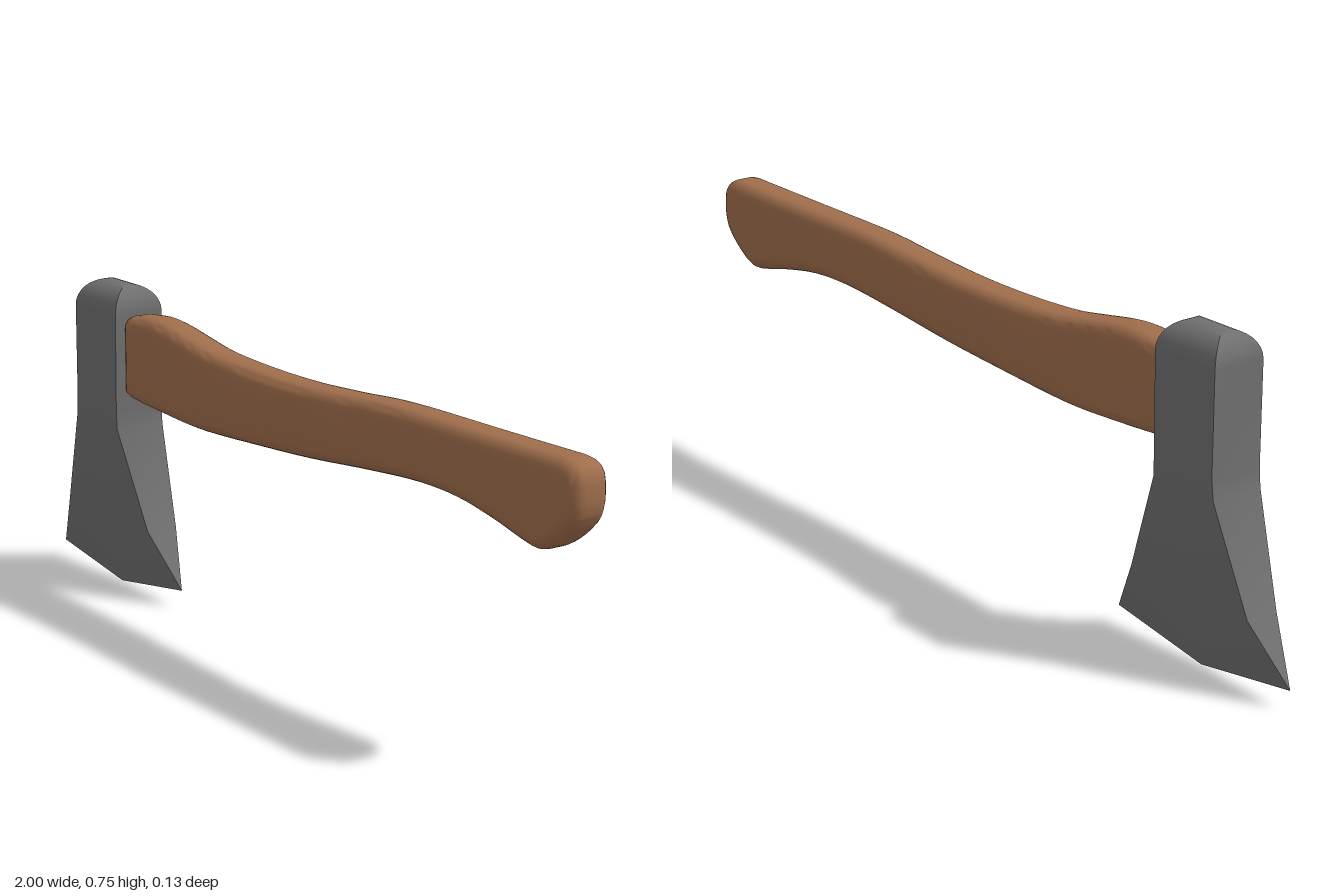
import * as THREE from 'three';
import { toCreasedNormals } from 'three/addons/utils/BufferGeometryUtils.js';

const MID_X = -0.73;

// Six-point ring: front left, middle, right, then back right, middle, left
function ring(x0, x1, y, halfZ, midY = y) {
  const mid = (x0 + x1) / 2;
  return [
    [x0, y, halfZ], [mid, midY, halfZ], [x1, y, halfZ],
    [x1, y, -halfZ], [mid, midY, -halfZ], [x0, y, -halfZ],
  ];
}

// Skin a stack of rings, listed from bottom to top
function loft(rings) {
  const positions = rings.flat(2);
  const n = rings[0].length;
  const index = [];
  for (let r = 0; r < rings.length - 1; r++) {
    for (let i = 0; i < n; i++) {
      const a = r * n + i, b = r * n + (i + 1) % n;
      index.push(a, b, b + n, a, b + n, a + n);
    }
  }
  const geometry = new THREE.BufferGeometry();
  geometry.setAttribute('position', new THREE.Float32BufferAttribute(positions, 3));
  geometry.setIndex(index);
  return toCreasedNormals(geometry, 0.5);
}

function createHead() {
  // Cutting edge, flared blade and neck
  const rings = [
    ring(-1, -0.465, 0.045, 0, 0.004),
    ring(-0.91, -0.55, 0.178, 0.04),
    ring(-0.825, -0.642, 0.415, 0.064),
    ring(-0.82, -0.643, 0.46, 0.065),
  ];
  // Socket with a domed top
  const steps = 8;
  for (let i = 0; i <= steps; i++) {
    const t = (i / steps) * Math.PI / 2;
    const halfX = 0.09 - 0.05 * (1 - Math.cos(t));
    rings.push(ring(MID_X - halfX, MID_X + halfX, 0.69 + 0.065 * Math.sin(t), 0.065 * Math.cos(t)));
  }
  const material = new THREE.MeshStandardMaterial({ color: 0x707070 });
  const head = new THREE.Mesh(loft(rings), material);
  head.name = 'axeHead';
  return head;
}

function createHandle() {
  // Side outline: swell at the head, slim waist, hooked grip end
  const shape = new THREE.Shape();
  shape.moveTo(-0.65, 0.51);
  shape.quadraticCurveTo(-0.65, 0.49, -0.61, 0.486);
  shape.splineThru([
    [-0.5, 0.478], [-0.33, 0.471], [-0.1, 0.482], [0.1, 0.495], [0.3, 0.514], [0.48, 0.527],
    [0.62, 0.523], [0.74, 0.503], [0.83, 0.482], [0.88, 0.477], [0.93, 0.501], [0.98, 0.545],
    [0.997, 0.585], [0.998, 0.63],
  ].map(([x, y]) => new THREE.Vector2(x, y)));
  shape.quadraticCurveTo(0.995, 0.68, 0.94, 0.679);
  shape.splineThru([
    [0.7, 0.677], [0.4, 0.675], [0.22, 0.663], [0.05, 0.654], [-0.12, 0.654], [-0.28, 0.662],
    [-0.38, 0.677], [-0.47, 0.692], [-0.54, 0.697], [-0.61, 0.691],
  ].map(([x, y]) => new THREE.Vector2(x, y)));
  shape.quadraticCurveTo(-0.65, 0.69, -0.65, 0.66);
  shape.closePath();

  const bevel = 0.03, width = 0.095;
  const geometry = new THREE.ExtrudeGeometry(shape, {
    depth: width - 2 * bevel,
    curveSegments: 4,
    bevelEnabled: true,
    bevelThickness: bevel,
    bevelSize: bevel,
    bevelOffset: -bevel,
    bevelSegments: 5,
  });
  geometry.translate(0, 0, bevel - width / 2 - 0.002);
  const material = new THREE.MeshStandardMaterial({ color: 0xa06e4c });
  const handle = new THREE.Mesh(toCreasedNormals(geometry, 0.7), material);
  handle.name = 'handle';
  return handle;
}

export function createModel() {
  const axe = new THREE.Group();
  axe.name = 'axe';
  axe.add(createHead(), createHandle());
  return axe;
}
